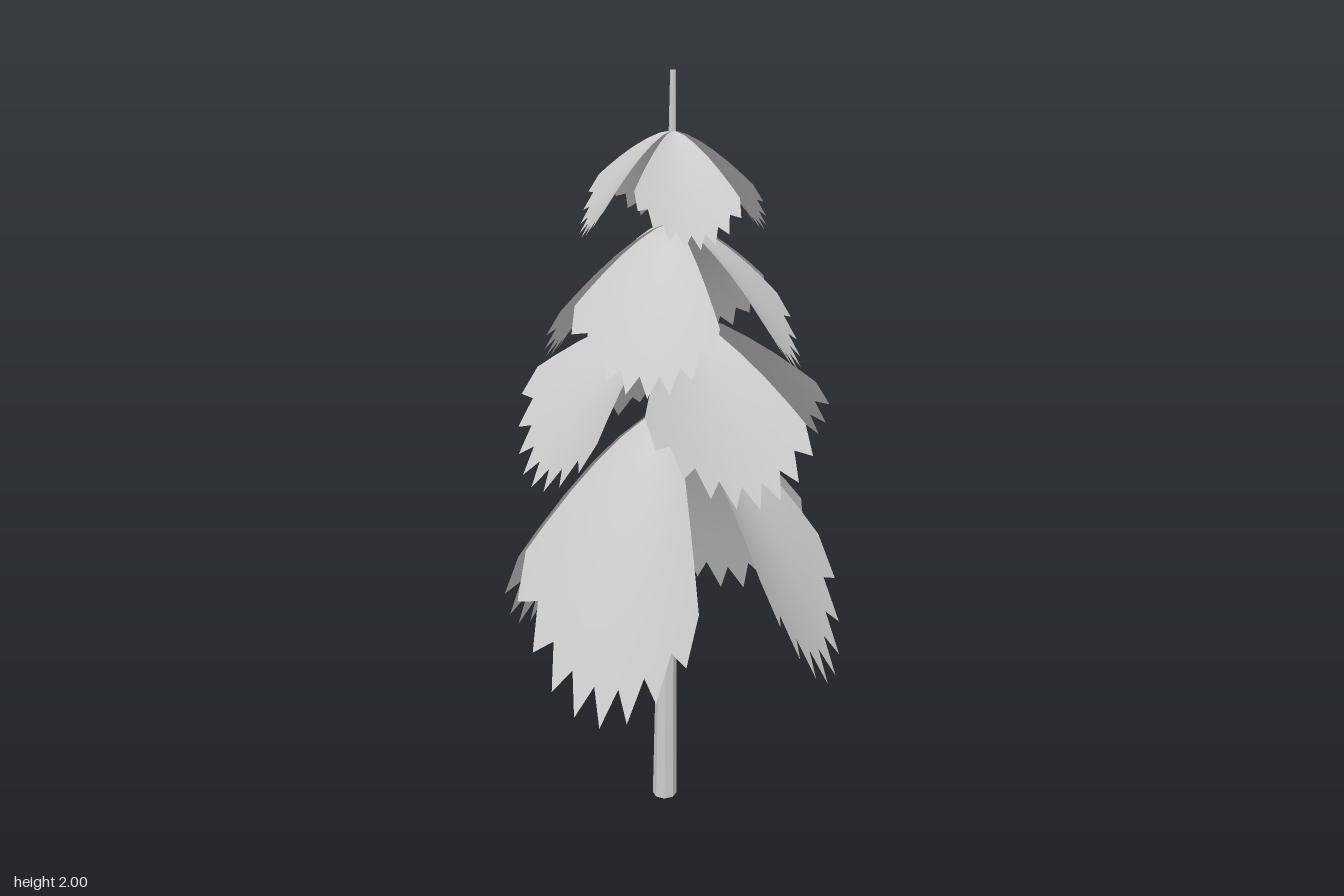
import * as THREE from 'three';

const grey = new THREE.MeshStandardMaterial({ color: 0xcccccc, side: THREE.DoubleSide });
const barkGrey = new THREE.MeshStandardMaterial({ color: 0xcccccc, flatShading: true });

const TEETH = 8;
const HALF_ANGLE = THREE.MathUtils.degToRad(37);

// One drooping fan of foliage pointing along +x, its apex at the origin.
// It slopes down towards the skew angle, its sides curl up a little and
// its rim is saw-toothed.
function branchGeometry(radius, drop, skew) {
  const columns = TEETH * 2, rows = 6;
  const geo = new THREE.PlaneGeometry(2, 1, columns, rows);
  const pos = geo.attributes.position;
  for (let i = 0; i < pos.count; i++) {
    const column = i % (columns + 1);
    const row = Math.floor(i / (columns + 1)) / rows;
    const s = (column / columns) * 2 - 1;
    const a = s * HALF_ANGLE;
    // only the outermost row carries the teeth
    const rim = column % 2 ? 1 : 0.91;
    const t = row === 1 ? rim : row * 0.95;
    const downhill = t * Math.cos(a - skew);
    const curl = 0.13 * t * s * s;
    pos.setXYZ(i,
      radius * t * Math.cos(a),
      -drop * (Math.pow(downhill, 1.4) - curl),
      -radius * t * Math.sin(a));
  }
  geo.computeVertexNormals();
  return geo;
}

// Slim tapered trunk, leaning slightly from its foot to the tip
function createTrunk() {
  const geo = new THREE.CylinderGeometry(0.007, 0.034, 2, 8, 4);
  geo.translate(0, 1, 0);
  const pos = geo.attributes.position;
  for (let i = 0; i < pos.count; i++) {
    pos.setX(i, pos.getX(i) - 0.035 * (1 - pos.getY(i) / 2));
  }
  geo.computeVertexNormals();
  const trunk = new THREE.Mesh(geo, barkGrey);
  trunk.name = 'trunk';
  return trunk;
}

// Four fans around the trunk, a quarter turn apart plus their own turn (degrees)
function createTier(name, { apex, radius, drop, skew, turns }) {
  const tier = new THREE.Group();
  tier.name = name;
  tier.position.y = apex;
  const geo = branchGeometry(radius, drop, THREE.MathUtils.degToRad(skew));
  turns.forEach((turn, k) => {
    const branch = new THREE.Mesh(geo, grey);
    branch.name = 'branch';
    branch.rotation.y = THREE.MathUtils.degToRad(turn + 90 * k);
    tier.add(branch);
  });
  return tier;
}

export function createModel() {
  const tree = new THREE.Group();
  tree.name = 'tree';
  tree.add(createTrunk());
  tree.add(createTier('topTier', { apex: 1.86, radius: 0.23, drop: 0.25, skew: 4, turns: [59, 54, 56, 58] }));
  tree.add(createTier('upperTier', { apex: 1.64, radius: 0.325, drop: 0.36, skew: 4, turns: [34, 30, 30, 31] }));
  tree.add(createTier('lowerTier', { apex: 1.42, radius: 0.4, drop: 0.41, skew: 8, turns: [74, 74, 70, 73] }));
  tree.add(createTier('bottomTier', { apex: 1.17, radius: 0.452, drop: 0.71, skew: 4, turns: [24, 23, 17, 18] }));
  return tree;
}
